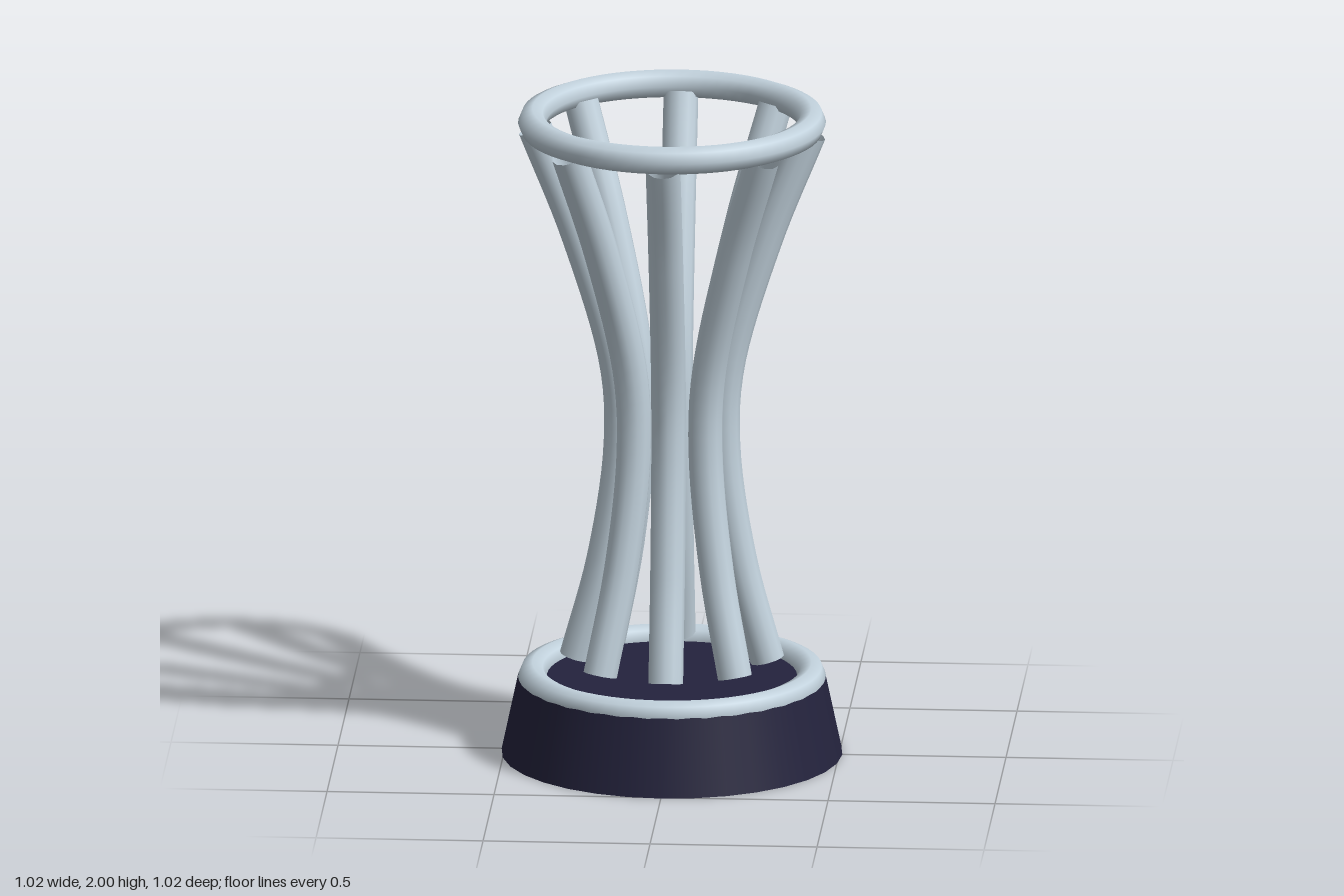
import * as THREE from 'three';

export function createModel() {
  const silver = new THREE.MeshStandardMaterial({ color: 0xc3d3de, side: THREE.DoubleSide });
  silver.name = 'silver';
  const navy = new THREE.MeshStandardMaterial({ color: 0x24233d });
  navy.name = 'navy';

  const model = new THREE.Group();
  model.name = 'trophy';
  const add = (name, geometry, material, parent = model) => {
    const mesh = new THREE.Mesh(geometry, material);
    mesh.name = name;
    parent.add(mesh);
    return mesh;
  };

  // Tapered plinth
  add('base', new THREE.CylinderGeometry(0.46, 0.51, 0.235, 32).translate(0, 0.1175, 0), navy);

  // Matching rings: one half sunk in the plinth, one on top of the rods
  const ring = new THREE.TorusGeometry(0.417, 0.043, 8, 64).rotateX(Math.PI / 2);
  add('baseRing', ring, silver).position.y = 0.235;
  add('topRing', ring, silver).position.y = 1.957;

  // Eight open rods drawn in at the waist
  const path = new THREE.CatmullRomCurve3(
    [[0.285, 0.292], [0.203, 0.6], [0.153, 0.95], [0.165, 1.2], [0.28, 1.6], [0.41, 1.93]]
      .map(([r, y]) => new THREE.Vector3(r, y, 0)));
  const rodGeometry = new THREE.TubeGeometry(path, 32, 0.052, 12, false);
  const rods = new THREE.Group();
  rods.name = 'rods';
  model.add(rods);
  for (let i = 0; i < 8; i++) {
    add('rod', rodGeometry, silver, rods).rotation.y = (i * Math.PI) / 4;
  }

  return model;
}
